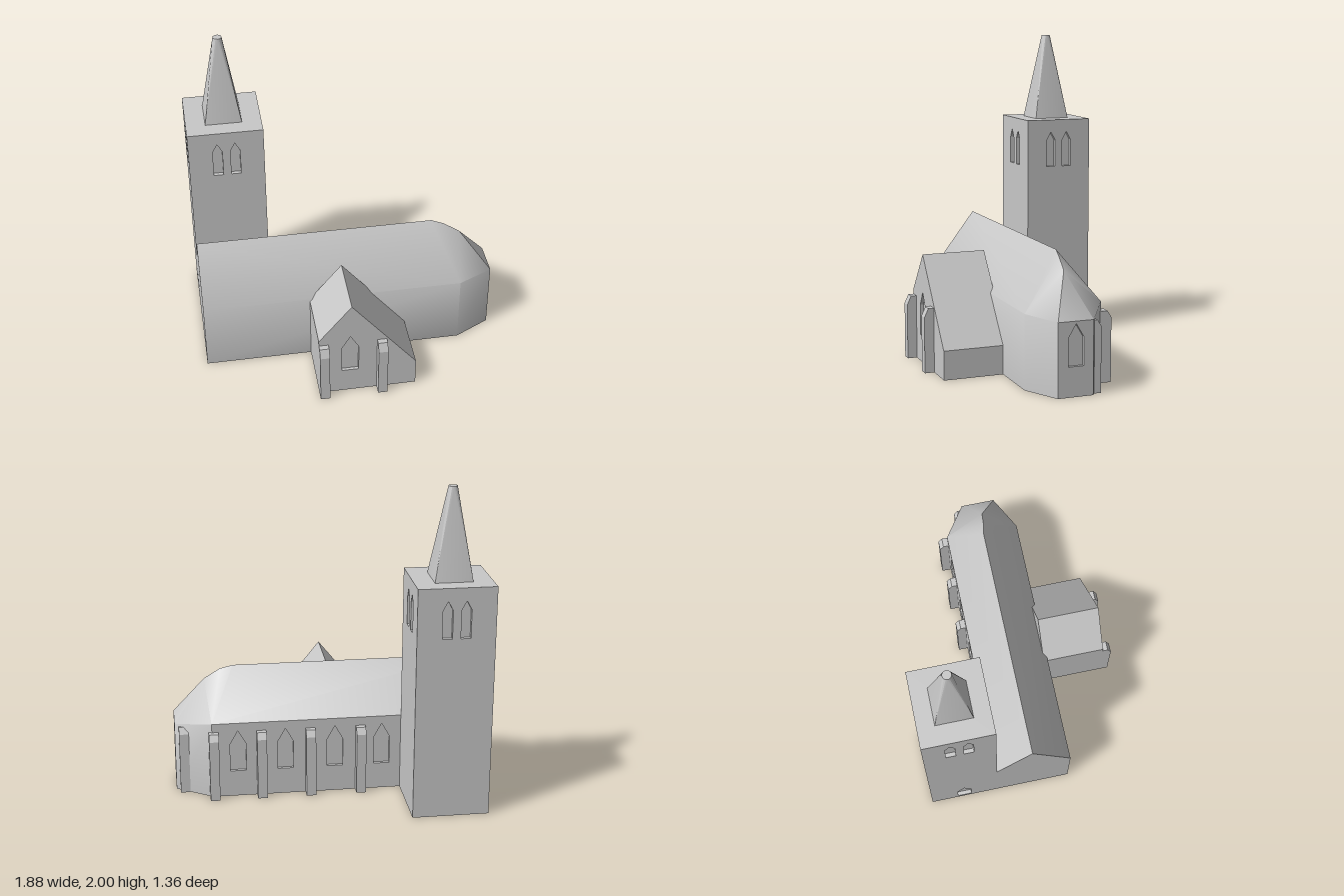
import * as THREE from 'three';
import { mergeGeometries, toCreasedNormals } from 'three/addons/utils/BufferGeometryUtils.js';

const stone = new THREE.MeshStandardMaterial({ color: 0xc8c8c8 });
stone.name = 'stone grey';

function add(parent, name, geometry) {
  const mesh = new THREE.Mesh(geometry, stone);
  mesh.name = name;
  parent.add(mesh);
  return mesh;
}

// Faces given as loops of corner points, each filled as a fan
function faces(loops, crease) {
  const pos = [];
  for (const l of loops)
    for (let i = 1; i < l.length - 1; i++) pos.push(...l[0], ...l[i], ...l[i + 1]);
  const g = new THREE.BufferGeometry();
  g.setAttribute('position', new THREE.Float32BufferAttribute(pos, 3));
  return toCreasedNormals(g, crease);
}

const outline = pts => new THREE.Shape(pts.map(p => new THREE.Vector2(...p)));
const rect = (x0, x1, y1) => [[x0, 0], [x1, 0], [x1, y1], [x0, y1]];

// Pointed window outline: centre, width, sill, spring and tip heights
const lancet = (x, w, sill, spring, tip) =>
  [[x - w / 2, sill], [x + w / 2, sill], [x + w / 2, spring], [x, tip], [x - w / 2, spring]];

// Wall whose outer face is z = 0, with recessed windows
function nicheWall(pts, windows, depth = 0.02) {
  const shape = outline(pts);
  shape.holes = windows.map(outline);
  const wall = new THREE.ExtrudeGeometry(shape, { depth, bevelEnabled: false });
  const backs = new THREE.ShapeGeometry(windows.map(outline)).toNonIndexed();
  return mergeGeometries([wall, backs]).translate(0, 0, -depth);
}

// Buttress with a sloped top, standing out along +z from z = 0
function buttress(w, top, shoulder, out) {
  const g = new THREE.ExtrudeGeometry(
    outline([[-0.03, 0], [out, 0], [out, shoulder], [out - 0.025, top], [-0.03, top]]),
    { depth: w, bevelEnabled: false });
  return g.translate(0, 0, -w / 2).rotateY(-Math.PI / 2);
}

function nave() {
  const group = new THREE.Group();
  group.name = 'nave';
  const sw = [-0.94, 0.455, 0.245], s0 = [0.71, 0.455, 0.245], s1 = [0.935, 0.445, 0.13];
  const nw = [-0.94, 0.49, -0.235], n0 = [0.71, 0.49, -0.235], n1 = [0.935, 0.445, -0.09];
  const ridge = [[-0.94, 0.79, -0.01], [0.56, 0.79, -0.01], [0.64, 0.765, 0.005], [0.74, 0.7, 0.015]];
  const [r0, r1, r2, r3] = ridge;
  const foot = p => [p[0], 0, p[2]];
  add(group, 'naveRoofAndWalls', faces([
    [sw, s0, r0], [s0, r1, r0], [s0, r2, r1], [s0, r3, r2],
    [s0, s1, r3], [s1, n1, r3], [n1, n0, r3],
    [n0, r2, r3], [n0, r1, r2], [n0, r0, r1], [n0, nw, r0],
    [foot(sw), foot(s0), s0, sw], [foot(s0), foot(s1), s1, s0], [foot(n1), foot(n0), n0, n1],
    [foot(nw), foot(sw), sw, r0, nw],
    [sw, nw, n0, n1, s1, s0].map(foot),
  ], 0.7));

  // Back wall, with its windows between buttresses
  const windows = [-0.35, -0.055, 0.255, 0.55].map(x => lancet(-x, 0.1, 0.17, 0.35, 0.44));
  const back = add(group, 'naveBackWall', nicheWall(rect(-0.71, 0.94, 0.49), windows));
  back.rotation.y = Math.PI;
  back.position.z = -0.235;
  for (const x of [-0.215, 0.1, 0.405, 0.7]) {
    const b = add(group, 'naveButtress', buttress(0.06, 0.435, 0.395, 0.06));
    b.rotation.y = Math.PI;
    b.position.set(x, 0, -0.235);
  }

  // End wall of the apse and its corner buttress
  const end = add(group, 'apseEndWall',
    nicheWall(rect(-0.13, 0.09, 0.445), [lancet(-0.018, 0.095, 0.18, 0.35, 0.43)]));
  end.rotation.y = Math.PI / 2;
  end.position.x = 0.935;
  const corner = add(group, 'apseButtress', buttress(0.06, 0.435, 0.395, 0.05));
  corner.rotation.y = Math.PI;
  corner.position.set(0.88, 0, -0.1);
  return group;
}

function transept() {
  const group = new THREE.Group();
  group.name = 'transept';
  const gable = [[-0.265, 0], [0.35, 0], [0.35, 0.18], [-0.06, 0.69], [-0.265, 0.435]];
  const body = add(group, 'transeptBody',
    new THREE.ExtrudeGeometry(outline(gable), { depth: 0.38, bevelEnabled: false }));
  body.position.z = 0.22;
  const front = add(group, 'transeptFrontWall',
    nicheWall(gable, [lancet(-0.068, 0.105, 0.17, 0.36, 0.45)]));
  front.position.z = 0.62;
  for (const x of [-0.235, 0.13])
    add(group, 'transeptButtress', buttress(0.06, 0.4, 0.345, 0.06)).position.set(x, 0, 0.62);
  return group;
}

function tower() {
  const group = new THREE.Group();
  group.name = 'tower';
  const hx = 0.235, hz = 0.22, h = 1.45;
  add(group, 'towerCore', new THREE.BoxGeometry(2 * hx - 0.05, h, 2 * hz - 0.05).translate(0, h / 2, 0));

  // Four walls with paired belfry windows, and a doorway on the -x side
  for (let i = 0; i < 4; i++) {
    const [w, d] = i % 2 ? [hz, hx] : [hx, hz];
    const holes = [-0.055, 0.055].map(x => lancet(x, 0.06, 1.14, 1.315, 1.37));
    if (i === 3) holes.push(lancet(0, 0.09, 0.03, 0.15, 0.22));
    const wall = add(group, 'towerWall', nicheWall(rect(-w, w, h), holes, 0.025));
    wall.rotation.y = i * Math.PI / 2;
    wall.position.set(Math.sin(i * Math.PI / 2) * d, 0, Math.cos(i * Math.PI / 2) * d);
  }

  // Spire: square foot blending into a small round tip
  const half = 0.114, r = 0.027, top = 2, steps = 4;
  const corner = i => {
    const a = (i + 0.5) * Math.PI / 2;
    return [Math.SQRT2 * half * Math.cos(a), h, Math.SQRT2 * half * Math.sin(a)];
  };
  const tip = k => {
    const a = k / steps * Math.PI / 2;
    return [r * Math.cos(a), top, r * Math.sin(a)];
  };
  const loops = [];
  for (let i = 0; i < 4; i++) {
    loops.push([corner(i), corner(i - 1), tip(i * steps)]);
    for (let k = i * steps; k < (i + 1) * steps; k++)
      loops.push([corner(i), tip(k), tip(k + 1)], [[0, top, 0], tip(k + 1), tip(k)]);
  }
  add(group, 'spire', faces(loops, 0.3));

  group.position.set(-0.705, 0, -0.455);
  return group;
}

export function createModel() {
  const church = new THREE.Group();
  church.name = 'church';
  church.add(nave(), transept(), tower());
  return church;
}
